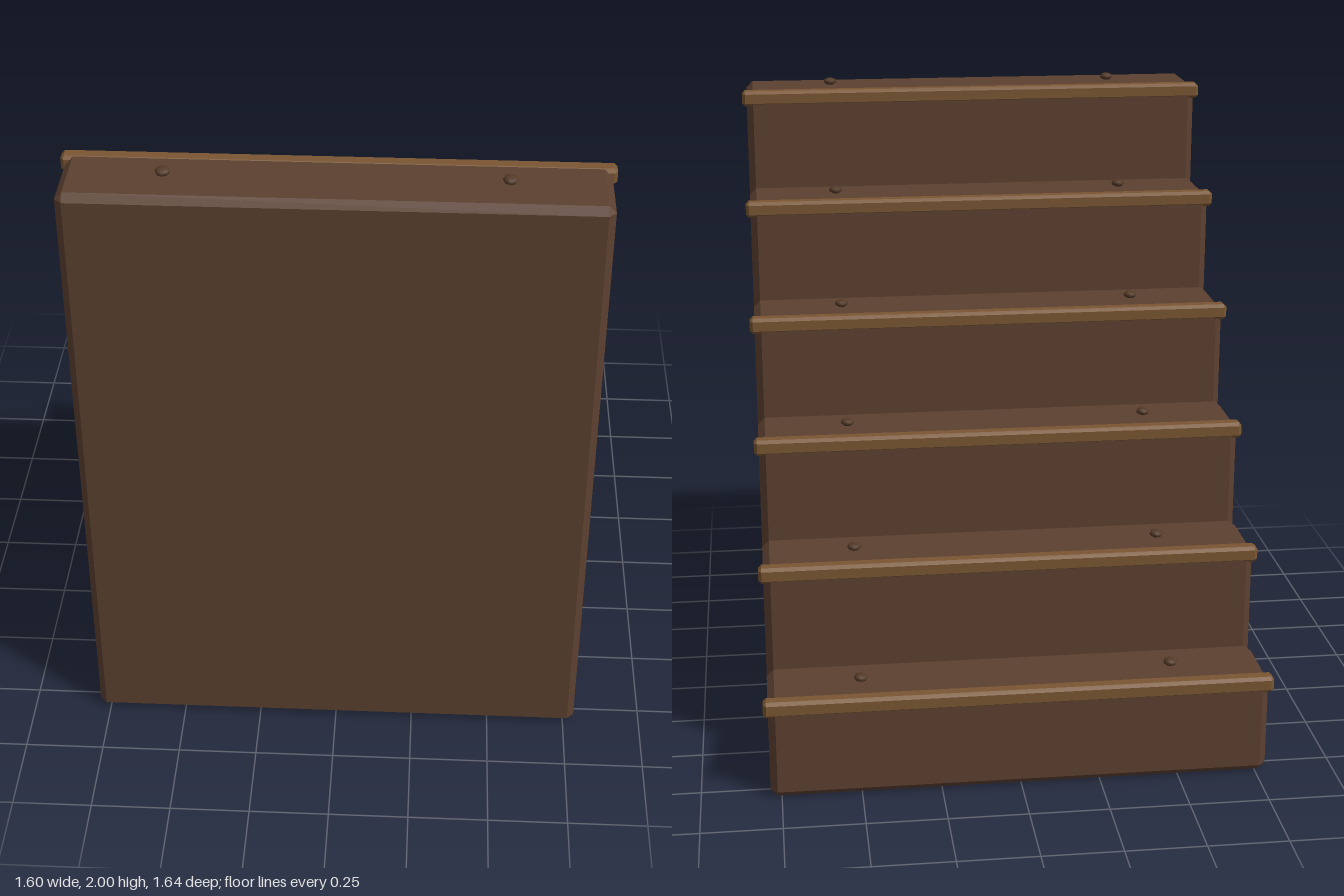
import * as THREE from 'three';
import { ConvexGeometry } from 'three/addons/geometries/ConvexGeometry.js';

const bodyWood = new THREE.MeshStandardMaterial({ name: 'dark brown wood', color: 0x5c4030 });
const trimWood = new THREE.MeshStandardMaterial({ name: 'light brown trim', color: 0x7a5632 });
const pegWood = new THREE.MeshStandardMaterial({ name: 'peg brown', color: 0x543a28 });

// Box with every edge cut at 45 degrees by c
function chamferBox(w, h, d, c) {
  const points = [];
  for (const sx of [-1, 1]) for (const sy of [-1, 1]) for (const sz of [-1, 1]) {
    const x = w / 2, y = h / 2, z = d / 2;
    points.push(
      new THREE.Vector3(sx * x, sy * (y - c), sz * (z - c)),
      new THREE.Vector3(sx * (x - c), sy * y, sz * (z - c)),
      new THREE.Vector3(sx * (x - c), sy * (y - c), sz * z)
    );
  }
  return new ConvexGeometry(points);
}

function addMesh(parent, name, geometry, material, x, y, z) {
  const mesh = new THREE.Mesh(geometry, material);
  mesh.name = name;
  mesh.position.set(x, y, z);
  parent.add(mesh);
  return mesh;
}

export function createModel() {
  const stairs = new THREE.Group();
  stairs.name = 'staircase';

  const count = 6, pitch = 0.2735, rise = 0.33, depth = 0.267;
  const nosingSize = 0.052;
  const nosingGeometry = chamferBox(1.6, nosingSize, nosingSize, 0.01);
  const pegGeometry = new THREE.SphereGeometry(1, 8, 6);
  pegGeometry.scale(0.022, 0.0125, 0.025);

  // Steps climb from the back (-z) to the front (+z)
  for (let i = 0; i < count; i++) {
    const step = new THREE.Group();
    step.name = 'step' + (i + 1);
    const top = 0.325 + i * rise;
    const z = (i - (count - 1) / 2) * pitch;

    // Solid block reaching the ground
    addMesh(step, 'block', chamferBox(1.57, top, depth, 0.022), bodyWood, 0, top / 2, z);

    // Lighter nosing along the leading edge
    addMesh(step, 'nosing', nosingGeometry, trimWood,
      0, top + 0.002 - nosingSize / 2, z - depth / 2 - 0.002 + nosingSize / 2);

    // Flattened pegs on the tread
    for (const side of [-1, 1]) {
      addMesh(step, side > 0 ? 'leftPeg' : 'rightPeg', pegGeometry, pegWood, side * 0.492, top + 0.0125, z);
    }
    stairs.add(step);
  }
  return stairs;
}
